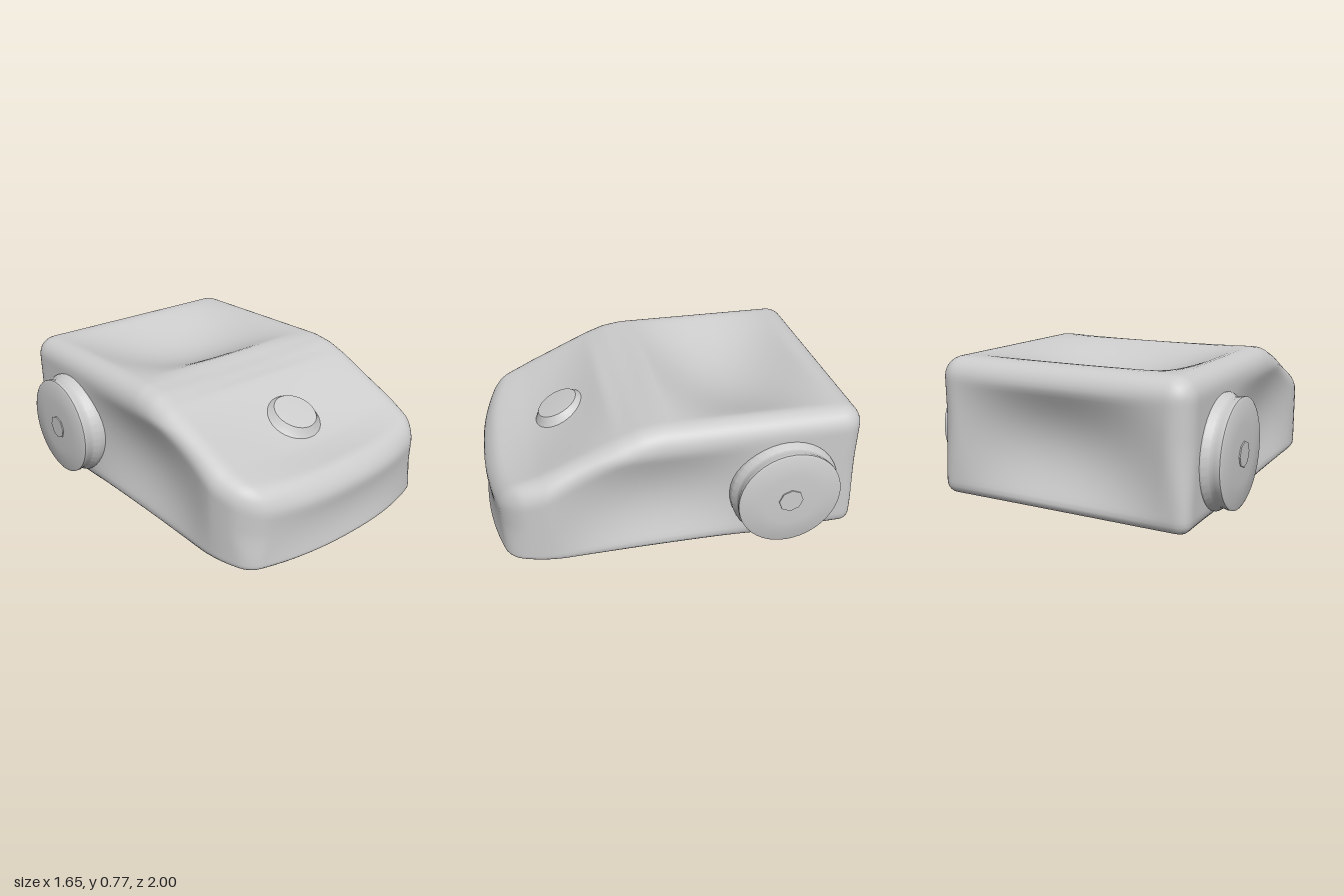
import * as THREE from 'three';
import { mergeVertices, toCreasedNormals } from 'three/addons/utils/BufferGeometryUtils.js';

const { clamp, smoothstep, lerp } = THREE.MathUtils;
const material = new THREE.MeshStandardMaterial({ color: 0xcccccc });

// Height of the upper outline along z: flat roof, bend, sloping hood, nose
const OUTLINE = [[-1, 0.772], [0.08, 0.772], [0.19, 0.755], [0.3, 0.715], [0.72, 0.525], [0.9, 0.46], [1, 0.42]];
function topHeight(z) {
  for (let i = 1; i < OUTLINE.length; i++) {
    const [z0, y0] = OUTLINE[i - 1], [z1, y1] = OUTLINE[i];
    if (z <= z1) return lerp(y0, y1, clamp((z - z0) / (z1 - z0), 0, 1));
  }
  return OUTLINE[OUTLINE.length - 1][1];
}

// Soft hollow, 1 in the middle and 0 at the border of a panel
function hollow(u, v) {
  const a = Math.max(0, 1 - u * u), b = Math.max(0, 1 - v * v);
  return Math.pow(a * b, 1.2);
}

// Rounded box with a sloping front, bowed nose and dished panels
function bodyGeometry() {
  const W = 0.71, Y0 = 0.035, Y1 = 0.772;
  let geo = new THREE.BoxGeometry(2 * W, Y1 - Y0, 2, 56, 30, 80);
  geo.translate(0, (Y0 + Y1) / 2, 0);
  geo.deleteAttribute('uv');
  geo.deleteAttribute('normal');
  geo = mergeVertices(geo);
  const pos = geo.attributes.position;
  const p = new THREE.Vector3(), core = new THREE.Vector3(), n = new THREE.Vector3();
  for (let i = 0; i < pos.count; i++) {
    p.fromBufferAttribute(pos, i);
    // round the edges, tighter towards the floor
    const r = 0.065 + 0.045 * smoothstep(p.y, 0.1, 0.5);
    core.set(clamp(p.x, r - W, W - r), clamp(p.y, Y0 + r, Y1 - r), clamp(p.z, r - 1, 1 - r));
    n.subVectors(p, core).normalize();
    p.copy(core).addScaledVector(n, r);
    // bow the nose and draw its corners in
    const bow = 0.1 * Math.pow(Math.abs(p.x) / W, 2.3) * smoothstep(p.z, 0.3, 1);
    p.x *= 1 - 0.11 * Math.pow(clamp((p.z - 0.6) / 0.4, 0, 1), 2.5);
    p.z -= bow;
    // lower the upper part to the outline
    p.y -= (Y1 - topHeight(p.z)) * clamp((p.y - Y0) / 0.58, 0, 1);
    // dished panels
    const { x, y, z } = p;
    if (n.y > 0) {
      p.y -= n.y * (0.13 * hollow(x / 0.6, (z + 0.42) / 0.44)
        + 0.015 * hollow(x / 0.6, (z - 0.17) / 0.14)
        + 0.055 * hollow(x / 0.6, (z - 0.61) / 0.31));
    } else {
      // swellings beneath the wheels, shallow hollow between them
      const d = ((Math.abs(x) - 0.52) / 0.18) ** 2 + ((z + 0.53) / 0.22) ** 2;
      p.y += n.y * 0.032 * Math.exp(-d) - n.y * 0.035 * hollow(x / 0.6, z / 0.8);
    }
    p.x -= n.x * 0.06 * hollow((z - 0.1) / 0.58, (y - 0.36) / 0.28);
    if (n.z < 0) p.z -= n.z * 0.09 * hollow(x / 0.6, (y - 0.37) / 0.29);
    else p.z -= n.z * 0.018 * hollow(x / 0.68, (y - 0.21) / 0.15);
    pos.setXYZ(i, p.x, p.y, p.z);
  }
  geo.computeVertexNormals();
  return geo;
}

function add(parent, name, geometry) {
  const mesh = new THREE.Mesh(geometry, material);
  mesh.name = name;
  parent.add(mesh);
  return mesh;
}

// Lathe turned about y, from [radius, height] pairs
function turned(profile, sides) {
  const points = profile.map(([r, h]) => new THREE.Vector2(r, h));
  return toCreasedNormals(new THREE.LatheGeometry(points, sides), 0.6);
}

export function createModel() {
  const model = new THREE.Group();
  model.name = 'roundedVehicle';

  add(model, 'body', bodyGeometry());

  // Round boss standing in the hood hollow
  const boss = add(model, 'hoodBoss', turned(
    [[0.2, -0.07], [0.16, -0.045], [0.135, -0.018], [0.12, 0], [0.1, 0.002], [0, -0.004]], 32));
  boss.position.set(0, 0.596, 0.555);
  boss.rotation.x = 0.43;

  // Rear wheels with a waisted tread, domed face and octagonal hub
  for (const side of [1, -1]) {
    const wheel = new THREE.Group();
    wheel.name = side > 0 ? 'leftWheel' : 'rightWheel';
    add(wheel, 'tyre', turned(
      [[0.295, -0.16], [0.295, -0.1], [0.275, -0.07], [0.275, -0.045], [0.28, -0.03],
        [0.28, -0.014], [0.268, -0.008], [0.15, -0.001], [0, 0.001]], 40));
    add(wheel, 'hub', turned([[0.068, -0.01], [0.066, 0.006], [0, 0.006]], 8));
    wheel.position.set(side * 0.818, 0.345, -0.575);
    wheel.rotation.z = -side * Math.PI / 2;
    model.add(wheel);
  }
  return model;
}
